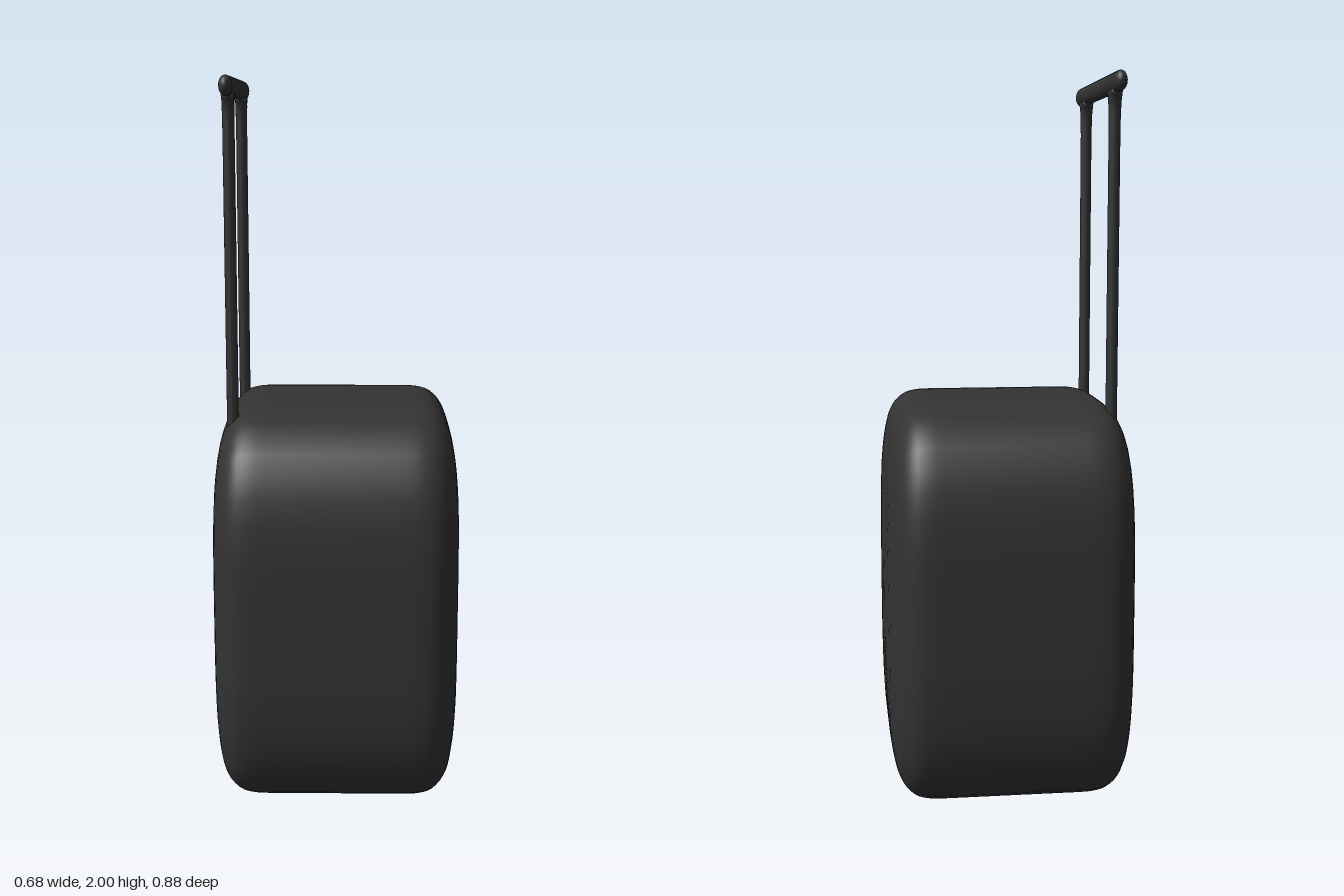
import * as THREE from 'three';
import { mergeVertices } from 'three/addons/utils/BufferGeometryUtils.js';

const dark = new THREE.MeshStandardMaterial({ color: 0x333333 });
const v2 = (p) => new THREE.Vector2(p[0], p[1]);

// Soft case: a lathe about x whose round section is pushed out to a rounded rectangle
function caseGeometry() {
  const half = [[0, 0.341], [0.2, 0.341], [0.39, 0.339], [0.66, 0.333], [0.83, 0.319],
    [0.92, 0.3], [0.975, 0.27], [0.995, 0.235], [1, 0.19], [1, 0.1]];
  const rest = half.slice().reverse().map(([r, x]) => [r, -x]);
  const curve = new THREE.SplineCurve([...half, [1, 0], ...rest].map(v2));
  const profile = curve.getPoints(60).reverse();
  profile.forEach((p) => p.set(Math.max(0, Math.min(1, p.x)), p.y));
  let geo = new THREE.LatheGeometry(profile, 64);
  geo.rotateZ(-Math.PI / 2);
  const pos = geo.attributes.position;
  const n = 3.8;
  for (let i = 0; i < pos.count; i++) {
    const y = pos.getY(i), z = pos.getZ(i);
    const r = Math.hypot(y, z);
    const k = r > 1e-6 ? r / Math.pow(Math.abs(y) ** n + Math.abs(z) ** n, 1 / n) : 1;
    pos.setXYZ(i, pos.getX(i), 0.565 + y * k * 0.56, z * k * 0.44);
  }
  geo.deleteAttribute('uv');
  geo.deleteAttribute('normal');
  geo = mergeVertices(geo, 1e-5);
  geo.computeVertexNormals();
  return geo;
}

export function createModel() {
  const model = new THREE.Group();
  const add = (name, geo, x, y, z, parent = model) => {
    const mesh = new THREE.Mesh(geo, dark);
    mesh.name = name;
    mesh.position.set(x, y, z);
    parent.add(mesh);
    return mesh;
  };

  add('caseBody', caseGeometry(), 0, 0, 0);

  // Pull-out handle
  const handle = new THREE.Group();
  handle.name = 'pullHandle';
  handle.position.x = -0.28;
  model.add(handle);

  // Two rods, flaring where they meet the grip
  const rod = [[0, 1.02], [0.016, 1.03], [0.016, 1.86], [0.017, 1.9], [0.02, 1.925],
    [0.027, 1.943], [0.036, 1.953], [0, 1.965]].map(v2);
  for (const side of [1, -1]) {
    const mesh = add(side > 0 ? 'frontRod' : 'backRod', new THREE.LatheGeometry(rod, 16),
      0, 0, side * 0.214, handle);
    // Narrow the flare across x so it stays within the grip
    const pos = mesh.geometry.attributes.position;
    for (let i = 0; i < pos.count; i++) {
      pos.setX(i, THREE.MathUtils.clamp(pos.getX(i), -0.0165, 0.0165));
    }
    mesh.geometry.computeVertexNormals();
  }

  // Oval grip bar with rounded ends
  const grip = new THREE.CapsuleGeometry(0.027, 0.576, 8, 20);
  grip.rotateX(Math.PI / 2);
  grip.scale(0.018 / 0.027, 1, 1);
  add('grip', grip, 0, 1.973, 0, handle);

  return model;
}
